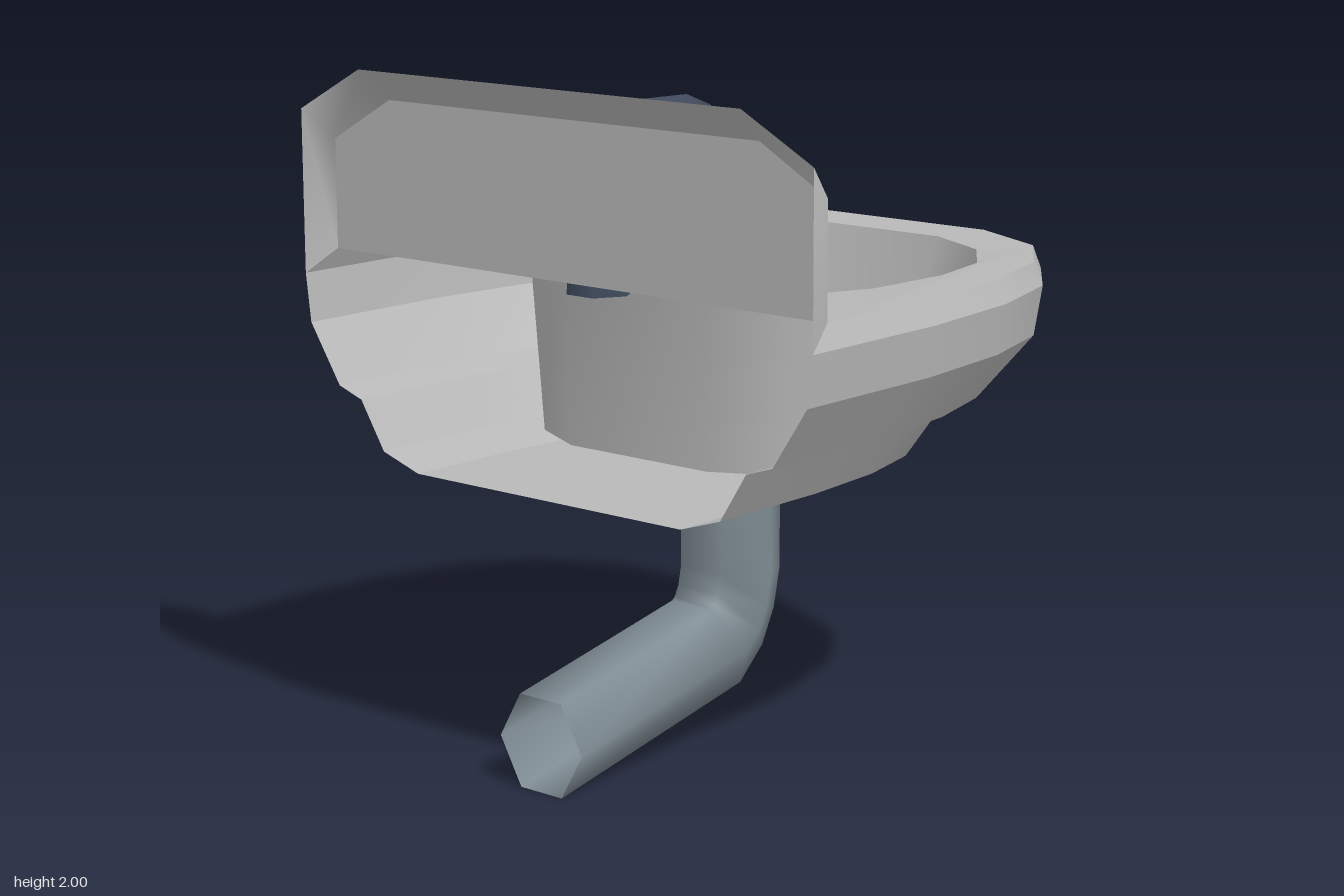
import * as THREE from 'three';

const material = (name, color) => {
  const m = new THREE.MeshStandardMaterial({ color, side: THREE.DoubleSide });
  m.name = name;
  return m;
};

// Smooth surface through a list of rings with equal point counts
function loft(rings, closed = false) {
  const n = rings[0].length;
  const index = [];
  for (let r = 0; r < rings.length - 1; r++) {
    for (let i = 0; i < (closed ? n : n - 1); i++) {
      const a = r * n + i, b = r * n + (i + 1) % n;
      index.push(a, b, a + n, b, b + n, a + n);
    }
  }
  const g = new THREE.BufferGeometry();
  g.setAttribute('position', new THREE.Float32BufferAttribute(rings.flat(2), 3));
  g.setIndex(index);
  g.computeVertexNormals();
  return g;
}

// Mirrors a half outline [u, v] (u > 0) into a full one running from -u to +u
const mirror = half => [...half.map(([u, v]) => [-u, v]).reverse(), ...half];

// Hexagonal tube along a [y, z] path, mitred at the bends; turn rotates the section
function hexTube(path, r, turn, endDir) {
  const pts = path.map(([y, z]) => new THREE.Vector2(y, z));
  const rings = pts.map((p, i) => {
    const prev = Math.max(i, 1), next = Math.min(i + 1, pts.length - 1);
    const d0 = pts[prev].clone().sub(pts[prev - 1]).normalize();
    const d1 = pts[next].clone().sub(pts[next - 1]).normalize();
    const t = d0.clone().add(d1).normalize();
    if (i === pts.length - 1) t.set(...endDir);
    const miter = r / t.dot(d0);
    return Array.from({ length: 6 }, (_, k) => {
      const a = turn + k * Math.PI / 3, s = Math.sin(a) * miter;
      return [Math.cos(a) * r, p.x + t.y * s, p.y - t.x * s];
    });
  });
  return loft(rings, true);
}

// Hexagonal prism with corners on the x axis
const hexPrism = (rTop, rBottom, h) =>
  new THREE.CylinderGeometry(rTop, rBottom, h, 6).rotateY(Math.PI / 6).toNonIndexed();

export function createModel() {
  const ceramic = material('ceramic', 0xb8b8b8);
  const metal = material('darkMetal', 0x404b5e);
  const pipeGrey = material('pipeGrey', 0x7d8a92);

  const model = new THREE.Group();
  model.name = 'washbasin';
  const add = (name, geometry, mat, parent = model) => {
    const mesh = new THREE.Mesh(geometry, mat);
    mesh.name = name;
    parent.add(mesh);
    return mesh;
  };

  // Outer shell: plan outline, shrunk towards the wall at each level
  const plan = mirror([[0.35, -0.82], [0.64, -0.67], [0.82, -0.42], [0.91, -0.11], [0.95, 0.27], [0.95, 0.8]]);
  const rim = mirror([[0.34, -0.8], [0.62, -0.66], [0.79, -0.42], [0.88, -0.1], [0.92, 0.25], [0.92, 0.7]]);
  const levels = [ // y, half width, front z
    [1.385, 0.953, -0.82], [1.24, 0.935, -0.795], [1.065, 0.82, -0.61],
    [1.035, 0.73, -0.52], [0.893, 0.64, -0.44], [0.848, 0.5, -0.33],
  ];
  const shell = [
    rim.map(([x, z]) => [x, 1.45, z]),
    ...levels.map(([y, w, f]) => plan.map(([x, z]) =>
      [x * w / 0.95, y, 0.8 - (0.8 - z) * (0.8 - f) / 1.62])),
  ];
  for (let i = 0; i < shell.length - 1; i++) add('shellBand' + i, loft([shell[i], shell[i + 1]]), ceramic);
  const last = shell[shell.length - 1];
  add('underside', loft([last, last.map(() => [0, 0.848, 0.8])]), ceramic);

  // Bowl
  const bowlTop = mirror([[0.27, -0.66], [0.5, -0.54], [0.64, -0.35], [0.685, -0.115], [0.63, 0.13], [0.5, 0.32], [0.27, 0.43]]);
  const bowlBase = mirror([[0.22, -0.47], [0.41, -0.36], [0.52, -0.2], [0.56, -0.03], [0.54, 0.15], [0.46, 0.31], [0.26, 0.41]]);
  const lipY = z => Math.min(1.44, 1.435 - 0.045 * z);
  const lip = bowlTop.map(([x, z]) => [x, lipY(z), z]);
  const floor = bowlBase.map(([x, z]) => [x, 0.9, z]);
  add('bowlWall', loft([floor, lip], true), ceramic);
  add('bowlFloor', loft([floor.map(() => [0, 0.885, -0.02]), floor], true), ceramic);

  // Deck around the bowl, dipping slightly to its lip
  const outline = pts => pts.map(([x, z]) => new THREE.Vector2(x, -z));
  const deckShape = new THREE.Shape(outline(rim));
  deckShape.holes.push(new THREE.Path(outline(bowlTop)));
  const deck = new THREE.ShapeGeometry(deckShape).rotateX(-Math.PI / 2);
  const pos = deck.attributes.position;
  for (let i = 0; i < pos.count; i++) pos.setY(i, i < rim.length ? 1.45 : lipY(pos.getZ(i)));
  deck.computeVertexNormals();
  add('deck', deck, ceramic);

  // Splashback, hollow towards the wall
  const backEdge = mirror([[0.71, 2], [0.953, 1.87], [0.953, 1.385]]).map(([x, y]) => [x, y, 0.8]);
  const frontEdge = mirror([[0.69, 1.905], [0.92, 1.775], [0.92, 1.45]]).map(([x, y]) => [x, y, 0.7]);
  add('splashbackBevel', loft([backEdge, frontEdge]), ceramic);
  add('splashbackFace', loft([frontEdge, frontEdge.map(() => [0, 1.45, 0.7])]), ceramic);

  // Overflow plug on the bowl's back wall
  const overflow = add('overflow', hexPrism(0.108, 0.108, 0.025).rotateX(Math.PI / 2), metal);
  overflow.position.set(0, 1.222, 0.405);

  // Tap: hexagonal collar and bent spout
  const collar = add('tapCollar', hexPrism(0.094, 0.099, 0.08), metal);
  collar.position.set(0, 1.445, 0.563);
  add('tapSpout', hexTube([[1.45, 0.568], [1.76, 0.568], [1.845, 0.535], [1.885, 0.455],
    [1.88, 0.2], [1.85, 0.12], [1.78, 0.078], [1.69, 0.078]], 0.049, Math.PI / 6, [-1, 0]), metal);

  // Valves with three-pointed handles
  const valveProfile = [[0.076, 0], [0.076, 0.03], [0.035, 0.06], [0.022, 0.09], [0.04, 0.118], [0, 0.118]]
    .map(([r, h]) => new THREE.Vector2(r, h));
  const star = new THREE.Shape(Array.from({ length: 9 }, (_, i) => {
    const a = -Math.PI / 2 + Math.floor(i / 3) * Math.PI * 2 / 3 + [-0.14, 0.14, Math.PI / 3][i % 3];
    const r = i % 3 === 2 ? 0.038 : 0.092;
    return new THREE.Vector2(Math.cos(a) * r, Math.sin(a) * r);
  }));
  for (const side of [-1, 1]) {
    const valve = new THREE.Group();
    valve.name = side > 0 ? 'leftValve' : 'rightValve';
    valve.position.set(side * 0.33, 1.668, 0.7);
    add('valveStem', new THREE.LatheGeometry(valveProfile, 6).rotateY(Math.PI / 6).rotateX(-Math.PI / 2), metal, valve);
    const handle = add('valveHandle', new THREE.ExtrudeGeometry(star, { depth: 0.02, bevelEnabled: false }), metal, valve);
    handle.position.z = -0.135;
    model.add(valve);
  }

  // Waste pipe, cut square at the wall
  add('wastePipe', hexTube([[0.88, -0.005], [0.495, -0.005], [0.405, 0.015], [0.3375, 0.05],
    [0.285, 0.1075], [0.14, 0.828]], 0.157, 0, [0, 1]), pipeGrey);

  return model;
}
